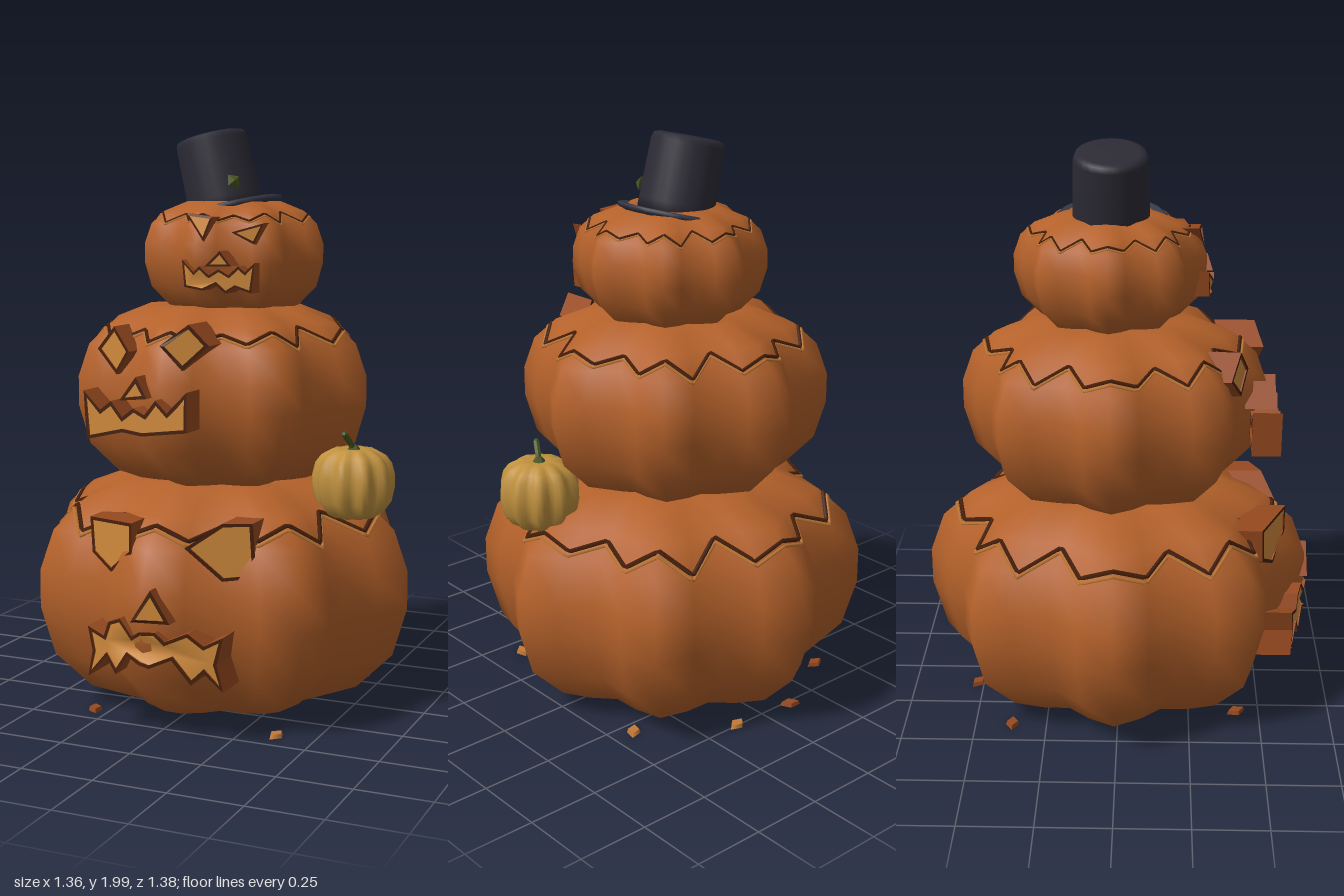
import * as THREE from 'three';
import { mergeVertices } from 'three/addons/utils/BufferGeometryUtils.js';

const mat = (color, extra = {}) => new THREE.MeshStandardMaterial({ color, ...extra });
const skin = mat(0xb4612a), dark = mat(0x47200c), glow = mat(0xd08a3c, { side: THREE.DoubleSide });
const edge = mat(0xc47a36), carved = mat(0x96491f, { flatShading: true });
const felt = mat(0x2c2b35), brimMat = mat(0x373847, { side: THREE.DoubleSide });
const green = mat(0x47551f, { flatShading: true }), tan = mat(0xc0913f);

// Pumpkin side profile: [radius, height]
const PROFILE = [[0, .01], [.37, .01], [.5, .06], [.63, .19], [.68, .36], [.68, .49],
  [.63, .63], [.53, .72], [.36, .785], [.2, .79], [0, .77]];

const lobe = (angle, n, depth) => 1 - depth + depth * Math.cos(n * angle);

function add(parent, name, geometry, material, x = 0, y = 0, z = 0) {
  const mesh = new THREE.Mesh(geometry, material);
  mesh.name = name;
  mesh.position.set(x, y, z);
  parent.add(mesh);
  return mesh;
}

// Lathe whose radius swells into n lobes
function pumpkinGeometry(n, depth, steps) {
  const g = new THREE.LatheGeometry(PROFILE.map(p => new THREE.Vector2(...p)), n * steps);
  const p = g.attributes.position;
  for (let i = 0; i < p.count; i++) {
    const f = lobe(Math.atan2(p.getX(i), p.getZ(i)), n, depth);
    p.setX(i, p.getX(i) * f);
    p.setZ(i, p.getZ(i) * f);
  }
  g.deleteAttribute('uv');
  g.deleteAttribute('normal');
  const merged = mergeVertices(g, 1e-4);
  merged.computeVertexNormals();
  return merged;
}

// Jagged seam of the cut lid, following the lobes
function seamGeometry(drop, thickness) {
  const pts = [];
  for (let i = 0; i < 32; i++) {
    const a = i / 32 * Math.PI * 2;
    const y = (i % 2 ? .645 : .7) - drop + .012 * Math.sin(i * 2.3);
    const r = (.63 - (y - .63) * 1.11 + .003) * lobe(a, 8, .085);
    pts.push(new THREE.Vector3(r * Math.sin(a), y, r * Math.cos(a)));
  }
  const curve = new THREE.CatmullRomCurve3(pts, true, 'catmullrom', 0);
  return new THREE.TubeGeometry(curve, 256, thickness, 4, true);
}

// Shrinks a counter-clockwise outline by d
function inset(pts, d) {
  return pts.map((p, i) => {
    const a = pts[(i + pts.length - 1) % pts.length], b = pts[(i + 1) % pts.length];
    const u = p.clone().sub(a).normalize(), v = b.clone().sub(p).normalize();
    const n1 = new THREE.Vector2(-u.y, u.x), n2 = new THREE.Vector2(-v.y, v.x);
    const m = n1.clone().add(n2).normalize();
    return p.clone().addScaledVector(m, d / Math.max(.5, m.dot(n1)));
  });
}

// Face piece: dark rim, carved walls and a bright panel, folded back around x0
function feature(parent, name, outline, { z, slope = 0, x0 = 0, depth = .14, rim = .011 }) {
  const pts = outline.map(p => new THREE.Vector2(...p));
  if (THREE.ShapeUtils.isClockWise(pts)) pts.reverse();
  const inner = inset(pts, rim);
  const frame = new THREE.Shape(pts);
  frame.holes.push(new THREE.Path(inner));
  const fold = g => {
    const p = g.attributes.position;
    for (let i = 0; i < p.count; i++) p.setZ(i, p.getZ(i) - slope * Math.abs(p.getX(i) - x0));
    g.computeVertexNormals();
    return g;
  };
  const wall = new THREE.ExtrudeGeometry(frame, { depth, bevelEnabled: false });
  const group = new THREE.Group();
  group.name = name;
  add(group, name + 'Rim', fold(wall.translate(0, 0, z - depth)), [dark, carved]);
  add(group, name + 'Panel', fold(new THREE.ShapeGeometry(new THREE.Shape(inner)).translate(0, 0, z - .005)), glow);
  parent.add(group);
}

function makeHat() {
  const hat = new THREE.Group();
  hat.name = 'topHat';
  const crown = [[0, 0], [.132, 0], [.13, .05], [.125, .25], [.118, .268], [.1, .274], [0, .276]];
  add(hat, 'hatCrown', new THREE.LatheGeometry(crown.map(p => new THREE.Vector2(...p)), 24), felt);
  const brim = [[.1, -.004], [.17, -.006], [.195, .006], [.198, .018], [.188, .022], [.165, .01], [.1, .01]];
  add(hat, 'hatBrim', new THREE.LatheGeometry(brim.map(p => new THREE.Vector2(...p)), 20), brimMat);
  const leaf = add(hat, 'hatLeaf', new THREE.OctahedronGeometry(.026), green, .09, .09, .1);
  leaf.scale.set(1, 1.1, .6);
  leaf.rotation.set(0, .7, .5);
  hat.position.set(0, 1.7, -.03);
  hat.rotation.z = .24;
  return hat;
}

export function createModel() {
  const model = new THREE.Group();
  const body = pumpkinGeometry(8, .085, 4);
  const darkSeam = seamGeometry(0, .009), lightSeam = seamGeometry(.013, .007);

  // Three stacked pumpkins: name, scale, position
  for (const [name, s, x, y, z] of [
    ['bottomPumpkin', 1, 0, 0, -.01],
    ['middlePumpkin', .78, -.01, .77, -.02],
    ['topPumpkin', .485, .025, 1.36, -.035]]) {
    const g = new THREE.Group();
    g.name = name;
    add(g, name + 'Body', body, skin);
    add(g, name + 'LidSeam', darkSeam, dark);
    add(g, name + 'LidEdge', lightSeam, edge);
    g.scale.setScalar(s);
    g.position.set(x, y, z);
    model.add(g);
  }

  // Bottom face
  const low = { z: .62, slope: .46, depth: .15 };
  feature(model, 'bottomRightEye', [[-.27, .7], [-.07, .71], [-.07, .61], [-.17, .53], [-.26, .58]], low);
  feature(model, 'bottomLeftEye', [[.11, .64], [.22, .72], [.31, .72], [.32, .54], [.22, .53]], low);
  feature(model, 'bottomNose', [[-.03, .41], [.04, .52], [.1, .41]], { z: .69, slope: .3, depth: .1 });
  feature(model, 'bottomMouth', [[-.22, .36], [-.15, .34], [-.13, .39], [-.08, .41], [-.03, .36], [0, .38], [.05, .38],
    [.08, .35], [.15, .38], [.2, .34], [.26, .37], [.24, .28], [.26, .19], [.2, .25], [.16, .21], [.1, .29],
    [.03, .26], [0, .27], [-.05, .29], [-.1, .22], [-.14, .27], [-.22, .19], [-.2, .28]],
  { z: .68, slope: .3, depth: .15 });

  // Middle face
  const mid = { z: .5, slope: .42, depth: .14 };
  feature(model, 'middleRightEye', [[-.3, 1.25], [-.22, 1.33], [-.15, 1.25], [-.21, 1.17]], mid);
  feature(model, 'middleLeftEye', [[-.01, 1.28], [.08, 1.35], [.14, 1.28], [.06, 1.2]], mid);
  feature(model, 'middleNose', [[-.14, 1.1], [-.08, 1.18], [-.04, 1.11]], { z: .53, depth: .1 });
  feature(model, 'middleMouth', [[-.26, 1.13], [-.2, 1.07], [-.16, 1.1], [-.12, 1.05], [-.08, 1.08], [-.04, 1.06],
    [0, 1.11], [.04, 1.07], [.07, 1.1], [.11, 1.14], [.11, 1.01], [.03, 1], [-.05, .99], [-.12, 1], [-.25, .97]],
  { z: .55, depth: .1 });

  // Top face, turned toward the left
  const high = { z: .315, slope: .4, x0: .04, depth: .09, rim: .007 };
  feature(model, 'topRightEye', [[-.02, 1.7], [.08, 1.69], [.05, 1.61]], { ...high, z: .29 });
  feature(model, 'topLeftEye', [[.14, 1.64], [.24, 1.67], [.21, 1.6]], { ...high, z: .3 });
  feature(model, 'topNose', [[.07, 1.53], [.115, 1.58], [.15, 1.53]], { ...high, z: .33 });
  feature(model, 'topMouth', [[-.02, 1.55], [.03, 1.51], [.05, 1.53], [.08, 1.5], [.11, 1.52], [.14, 1.5], [.17, 1.53],
    [.19, 1.51], [.22, 1.54], [.21, 1.44], [.16, 1.46], [.13, 1.44], [.1, 1.47], [.06, 1.45], [-.01, 1.46]],
  { ...high, z: .325 });

  model.add(makeHat());

  // Small pale pumpkin with a curved stem
  const small = new THREE.Group();
  small.name = 'smallPumpkin';
  add(small, 'smallPumpkinBody', pumpkinGeometry(10, .07, 6), tan).scale.set(.205, .295, .205);
  const stem = new THREE.CatmullRomCurve3([[0, .21, 0], [-.005, .245, .01], [-.02, .285, .04]].map(p => new THREE.Vector3(...p)));
  add(small, 'smallPumpkinStem', new THREE.TubeGeometry(stem, 6, .011, 6), green);
  add(small, 'stemTip', new THREE.SphereGeometry(.011, 6, 4), green, -.02, .285, .04);
  add(small, 'stemBase', new THREE.CylinderGeometry(.012, .03, .025, 6), green, 0, .232, 0);
  small.position.set(.512, .685, .08);
  model.add(small);

  // Flat shell scraps on the ground
  [[-.4, -.37], [.37, .42], [-.12, -.52], [.42, -.3], [-.3, .42], [.12, -.5]].forEach(([x, z], i) => {
    const scrap = add(model, 'groundScrap', new THREE.CylinderGeometry(.03, .036, .014, 4), i % 2 ? edge : carved, x, .008, z);
    scrap.scale.z = .65;
    scrap.rotation.y = i * 1.3;
  });
  return model;
}
